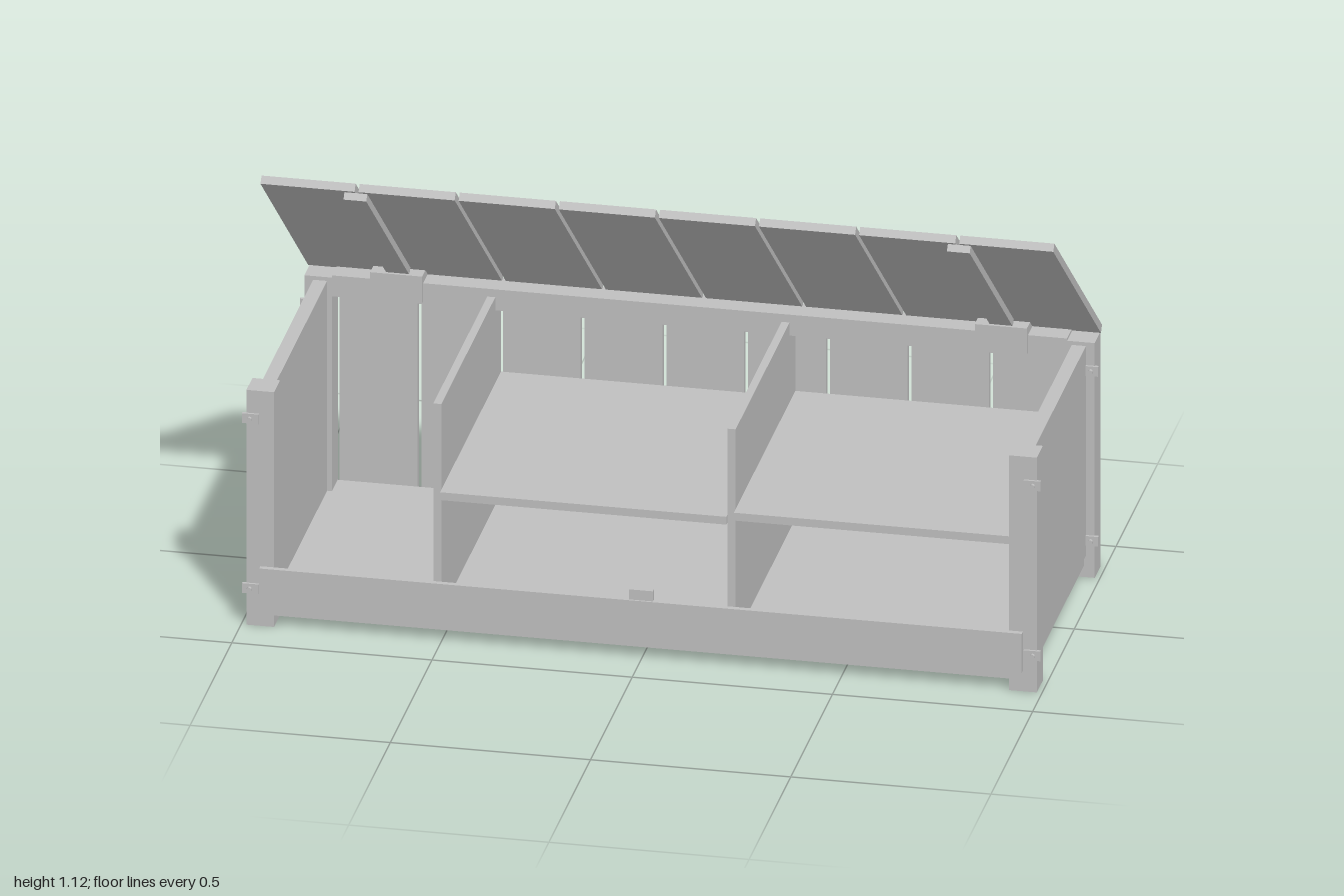
import * as THREE from 'three';

export function createModel() {
  const root = new THREE.Group();
  root.name = 'storageChest';
  const wood = new THREE.MeshStandardMaterial({ color: 0xbfbfbf });
  wood.name = 'plain grey';

  // Box given by its extents along each axis
  function box(name, [x0, x1], [y0, y1], [z0, z1], parent = root) {
    const m = new THREE.Mesh(new THREE.BoxGeometry(x1 - x0, y1 - y0, z1 - z0), wood);
    m.position.set((x0 + x1) / 2, (y0 + y1) / 2, (z0 + z1) / 2);
    m.name = name;
    parent.add(m);
    return m;
  }
  const span = (s, a, b) => (s > 0 ? [a, b] : [-b, -a]);

  // Floor, front board and latch plate
  box('floor', [-0.96, 0.96], [0.03, 0.057], [-0.378, 0.385]);
  box('frontBoard', [-0.952, 0.952], [0.055, 0.16], [0.387, 0.401]);
  box('latchPlate', [-0.03, 0.03], [0.13, 0.187], [0.382, 0.396]);

  // Posts, side panels, brackets and hinges, mirrored
  for (const s of [1, -1]) {
    box('frontPost', span(s, 0.918, 0.987), [0, 0.63], [0.315, 0.387]);
    box('backPost', span(s, 0.918, 0.987), [0, 0.63], [-0.378, -0.307]);
    box('sidePanel', span(s, 0.93, 0.965), [0.057, 0.62], [-0.375, 0.33]);
    box('cornerBlock', span(s, 0.93, 0.98), [0.585, 0.62], [-0.392, -0.376]);
    box('hingeBlock', span(s, 0.69, 0.82), [0.588, 0.659], [-0.4, -0.295]);
    for (const z of [0.387, -0.307]) {
      for (const y of [0.1, 0.556]) {
        box('bracket', span(s, 0.955, 0.997), [y - 0.013, y + 0.013], [z - 0.002, z + 0.006]);
        const bolt = new THREE.Mesh(new THREE.CylinderGeometry(0.006, 0.006, 0.014, 10), wood);
        bolt.rotation.x = Math.PI / 2;
        bolt.position.set(s * 0.978, y, z + 0.007);
        bolt.name = 'bolt';
        root.add(bolt);
      }
    }
  }

  // Back wall of nine boards, with a rail along its top
  const pitch = 1.836 / 9;
  for (let i = 0; i < 9; i++) {
    const x = -0.918 + i * pitch;
    box('backBoard', [x + 0.005, x + pitch - 0.005], [0.05, 0.62], [-0.394, -0.376]);
  }
  box('backRail', [-0.918, 0.918], [0.58, 0.636], [-0.378, -0.307]);

  // Dividers and shelves
  for (const x of [-0.52, 0.215]) {
    box('divider', [x - 0.01, x + 0.01], [0.057, 0.615], [-0.376, 0.34]);
  }
  box('middleShelf', [-0.51, 0.205], [0.364, 0.385], [-0.376, 0.355]);
  box('rightShelf', [0.225, 0.93], [0.38, 0.401], [-0.376, 0.362]);

  // Open lid: pivots on its upper back edge, with local z running up the slope
  const lid = new THREE.Group();
  lid.name = 'lid';
  lid.position.set(0, 0.647, -0.381);
  lid.rotation.x = -Math.atan2(0.471, 0.572);
  root.add(lid);
  for (let i = 0; i < 8; i++) {
    const x = -1 + i * 0.25;
    box('lidPlank', [x + (i === 0 ? 0.01 : 0.005), x + (i === 7 ? 0.24 : 0.245)],
      [-0.021, 0], [0, 0.741], lid);
  }
  for (const s of [1, -1]) {
    box('lidBatten', span(s, 0.725, 0.782), [-0.04, -0.021], [0.06, 0.73], lid);
  }

  return root;
}
